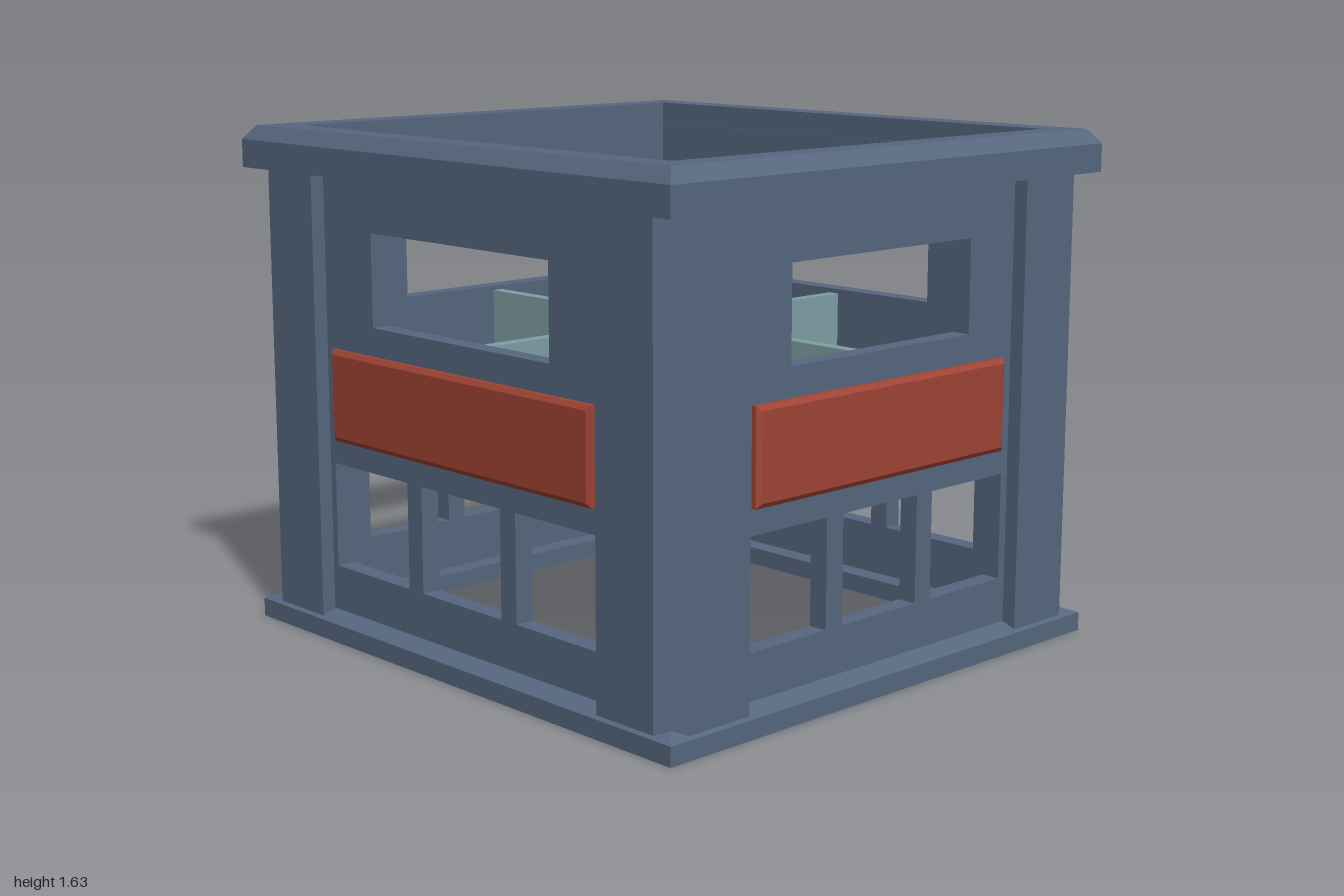
import * as THREE from 'three';

const DZ = 0.065; // every outline is this much shorter in z than in x

const mat = (color) => new THREE.MeshStandardMaterial({ color, flatShading: true });

// Rectangular ring swept from a closed profile of [half width, y]; outside runs upward
function frame(profile) {
  const corners = [[1, 1], [1, -1], [-1, -1], [-1, 1]];
  const point = (k, j) => {
    const [h, y] = profile[j % profile.length];
    const [sx, sz] = corners[k % 4];
    return [sx * h, y, sz * (h - DZ)];
  };
  const pos = [];
  for (let k = 0; k < 4; k++) {
    for (let j = 0; j < profile.length; j++) {
      const a = point(k, j), b = point(k + 1, j), c = point(k + 1, j + 1), d = point(k, j + 1);
      pos.push(...a, ...b, ...c, ...a, ...c, ...d);
    }
  }
  const g = new THREE.BufferGeometry();
  g.setAttribute('position', new THREE.Float32BufferAttribute(pos, 3));
  g.computeVertexNormals();
  return g;
}

function rect(Type, x0, x1, y0, y1) {
  const r = new Type();
  r.moveTo(x0, y0);
  r.lineTo(x1, y0);
  r.lineTo(x1, y1);
  r.lineTo(x0, y1);
  r.closePath();
  return r;
}

// Wall panel with one wide hand opening and three lower windows
function wallGeometry(half, thick, upper, windows) {
  const s = rect(THREE.Shape, -half, half, 0.03, 1.56);
  s.holes.push(rect(THREE.Path, -upper, upper, 1.035, 1.33));
  for (const [a, b] of windows) s.holes.push(rect(THREE.Path, a, b, 0.23, 0.57));
  return new THREE.ExtrudeGeometry(s, { depth: thick, bevelEnabled: false });
}

// Raised plate with a narrow bevelled border
function plateGeometry(half) {
  const b = 0.015;
  const s = rect(THREE.Shape, -half + b, half - b, 0.65 + b, 0.945 - b);
  return new THREE.ExtrudeGeometry(s, {
    depth: 0.02, bevelEnabled: true, bevelSize: b, bevelThickness: 0.01, bevelSegments: 1,
  });
}

export function createModel() {
  const model = new THREE.Group();
  const body = mat(0x56677f), red = mat(0xa04434), teal = mat(0x7fa0a5);
  const add = (name, geometry, material, parent = model) => {
    const m = new THREE.Mesh(geometry, material);
    m.name = name;
    parent.add(m);
    return m;
  };

  // Four sides: wall and coloured plate, turned about the centre
  const longWall = {
    half: 0.92, inner: 0.795, outer: 0.858, upper: 0.42, plate: 0.618,
    windows: [[-0.64, -0.26], [-0.19, 0.19], [0.26, 0.64]],
  };
  const shortWall = {
    half: 0.795, inner: 0.86, outer: 0.923, upper: 0.393, plate: 0.55,
    windows: [[-0.57, -0.235], [-0.165, 0.165], [0.235, 0.57]],
  };
  ['front', 'left', 'back', 'right'].forEach((side, i) => {
    const w = i % 2 ? shortWall : longWall;
    const g = new THREE.Group();
    g.name = side + 'Side';
    g.rotation.y = i * Math.PI / 2;
    const wall = wallGeometry(w.half, w.outer - w.inner, w.upper, w.windows);
    add(side + 'Wall', wall, body, g).position.z = w.inner;
    add(side + 'Plate', plateGeometry(w.plate), red, g).position.z = w.outer - 0.004;
    model.add(g);
  });

  // Chamfered corner columns standing proud of the walls
  const outline = [[0.665, 0.905], [0.9, 0.905], [0.97, 0.835], [0.97, 0.6], [0.9, 0.6], [0.9, 0.84], [0.665, 0.84]];
  for (const sx of [1, -1]) {
    for (const sz of [1, -1]) {
      const s = new THREE.Shape(outline.map(([x, z]) => new THREE.Vector2(sx * x, -sz * z)));
      const g = new THREE.ExtrudeGeometry(s, { depth: 1.46, bevelEnabled: false });
      g.rotateX(-Math.PI / 2);
      add('cornerColumn', g, body).position.y = 0.05;
    }
  }

  // Top rim and base rim
  add('topRim', frame([[1, 1.5], [1, 1.59], [0.965, 1.635], [0.865, 1.635], [0.865, 1.55], [0.9, 1.5]]), body);
  add('baseRim', frame([[0.985, 0], [0.985, 0.06], [0.92, 0.085], [0.88, 0.085], [0.86, 0.06], [0.79, 0.06], [0.79, 0]]), body);

  // Raised floor and crossed dividers
  add('floor', new THREE.BoxGeometry(1.74, 0.03, 1.61), body).position.y = 0.587;
  add('dividerAcross', new THREE.BoxGeometry(1.72, 0.43, 0.04), teal).position.y = 0.805;
  for (const s of [1, -1]) {
    add('dividerLengthwise', new THREE.BoxGeometry(0.04, 0.43, 0.775), teal).position.set(0, 0.805, s * 0.4075);
  }
  return model;
}
